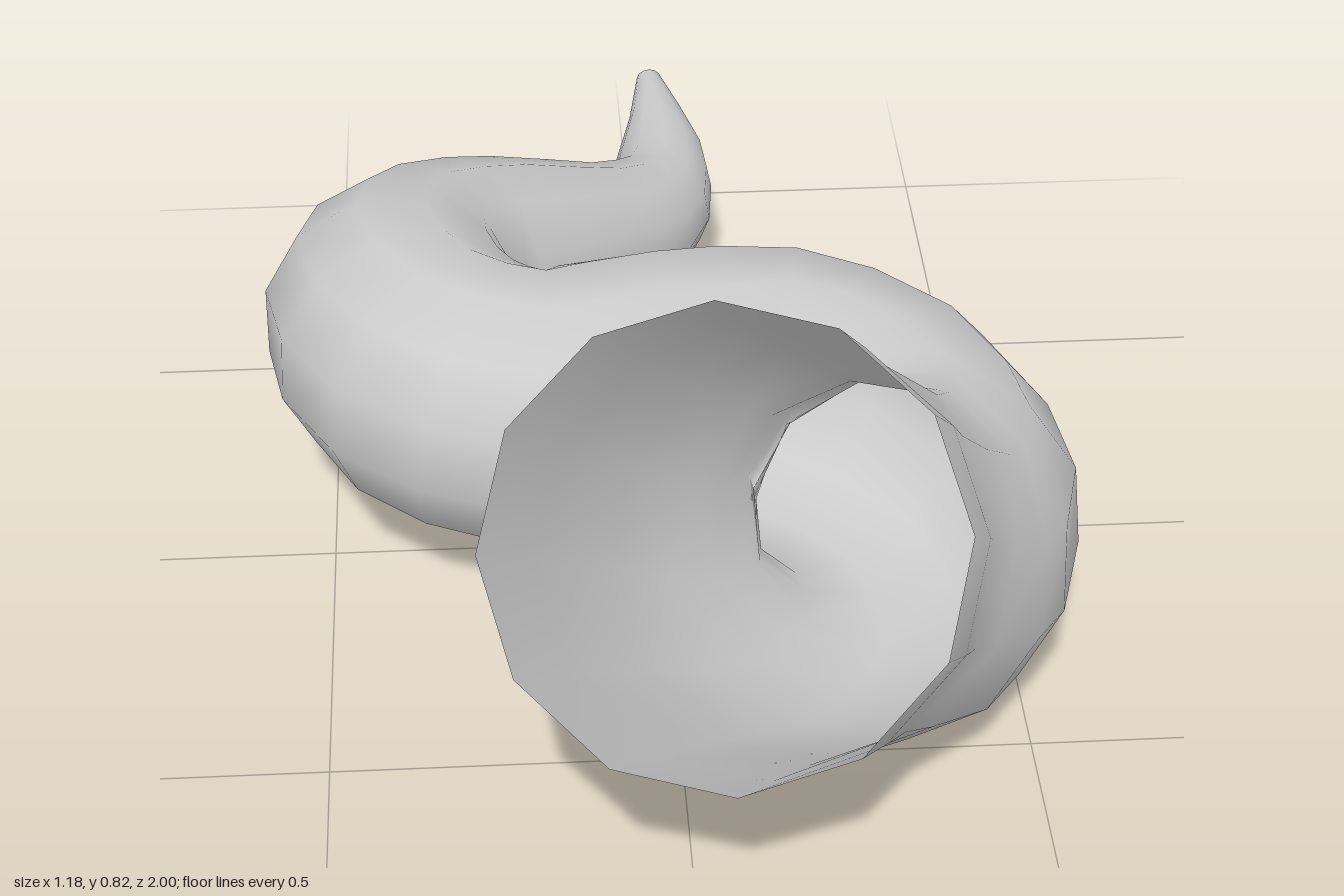
import * as THREE from 'three';

const SIDES = 12;
const STEPS_PER_SPAN = 2;

// Centreline stations from the wide open mouth to the tip: x, y, z, radius
const STATIONS = [
  [0.035, 0.605, 0.78, 0.315],
  [0.15, 0.42, 0.57, 0.28],
  [0.28, 0.285, 0.42, 0.255],
  [0.355, 0.24, 0.26, 0.24],
  [0.31, 0.25, 0.09, 0.235],
  [0.16, 0.27, 0.0, 0.232],
  [-0.02, 0.3, 0.03, 0.223],
  [-0.2, 0.325, 0.075, 0.208],
  [-0.335, 0.342, 0.01, 0.205],
  [-0.395, 0.34, -0.15, 0.2],
  [-0.345, 0.31, -0.3, 0.183],
  [-0.22, 0.265, -0.42, 0.162],
  [-0.05, 0.205, -0.565, 0.123],
  [0.03, 0.187, -0.68, 0.097],
  [0.05, 0.2, -0.82, 0.073],
  [0.038, 0.25, -0.995, 0.02],
];

// Sweep a ring of changing radius along the centreline, without twisting it
function sweepTube(stations, sides) {
  const curve = new THREE.CatmullRomCurve3(
    stations.map(([x, y, z]) => new THREE.Vector3(x, y, z)), false, 'centripetal');
  const spans = stations.length - 1;
  const rings = spans * STEPS_PER_SPAN;
  const positions = [];
  const indices = [];
  const normal = new THREE.Vector3(1, 0, 0);

  for (let i = 0; i <= rings; i++) {
    const t = i / rings;
    const span = Math.min(Math.floor(t * spans), spans - 1);
    const radius = THREE.MathUtils.lerp(stations[span][3], stations[span + 1][3], t * spans - span);
    const centre = curve.getPoint(t);
    const tangent = curve.getTangent(t);
    // The mouth is cut square to the x axis, tilted up at 45 degrees
    const mouth = Math.max(0, 1 - i / 2);
    tangent.lerp(new THREE.Vector3(0, -0.707, -0.707), mouth).normalize();
    normal.addScaledVector(tangent, -normal.dot(tangent)).normalize();
    const binormal = new THREE.Vector3().crossVectors(tangent, normal);

    for (let j = 0; j < sides; j++) {
      const a = (j / sides) * Math.PI * 2;
      const p = centre.clone()
        .addScaledVector(normal, Math.cos(a) * radius)
        .addScaledVector(binormal, Math.sin(a) * radius);
      positions.push(p.x, p.y, p.z);
      if (i < rings) {
        const k = i * sides + j;
        const next = i * sides + (j + 1) % sides;
        indices.push(k, next, k + sides, next, next + sides, k + sides);
      }
    }
  }

  // Close the tip with a fan
  const end = curve.getPoint(1);
  const tip = positions.length / 3;
  positions.push(end.x, end.y, end.z);
  for (let j = 0; j < sides; j++) {
    indices.push(rings * sides + j, rings * sides + (j + 1) % sides, tip);
  }

  const geometry = new THREE.BufferGeometry();
  geometry.setAttribute('position', new THREE.Float32BufferAttribute(positions, 3));
  geometry.setIndex(indices);
  geometry.computeVertexNormals();
  return geometry;
}

export function createModel() {
  const group = new THREE.Group();
  group.name = 'curledTail';
  const material = new THREE.MeshStandardMaterial({ color: 0xcccccc, side: THREE.DoubleSide });

  // Hollow tapering tail, open at the front
  const tail = new THREE.Mesh(sweepTube(STATIONS, SIDES), material);
  tail.name = 'tail';
  group.add(tail);
  return group;
}
